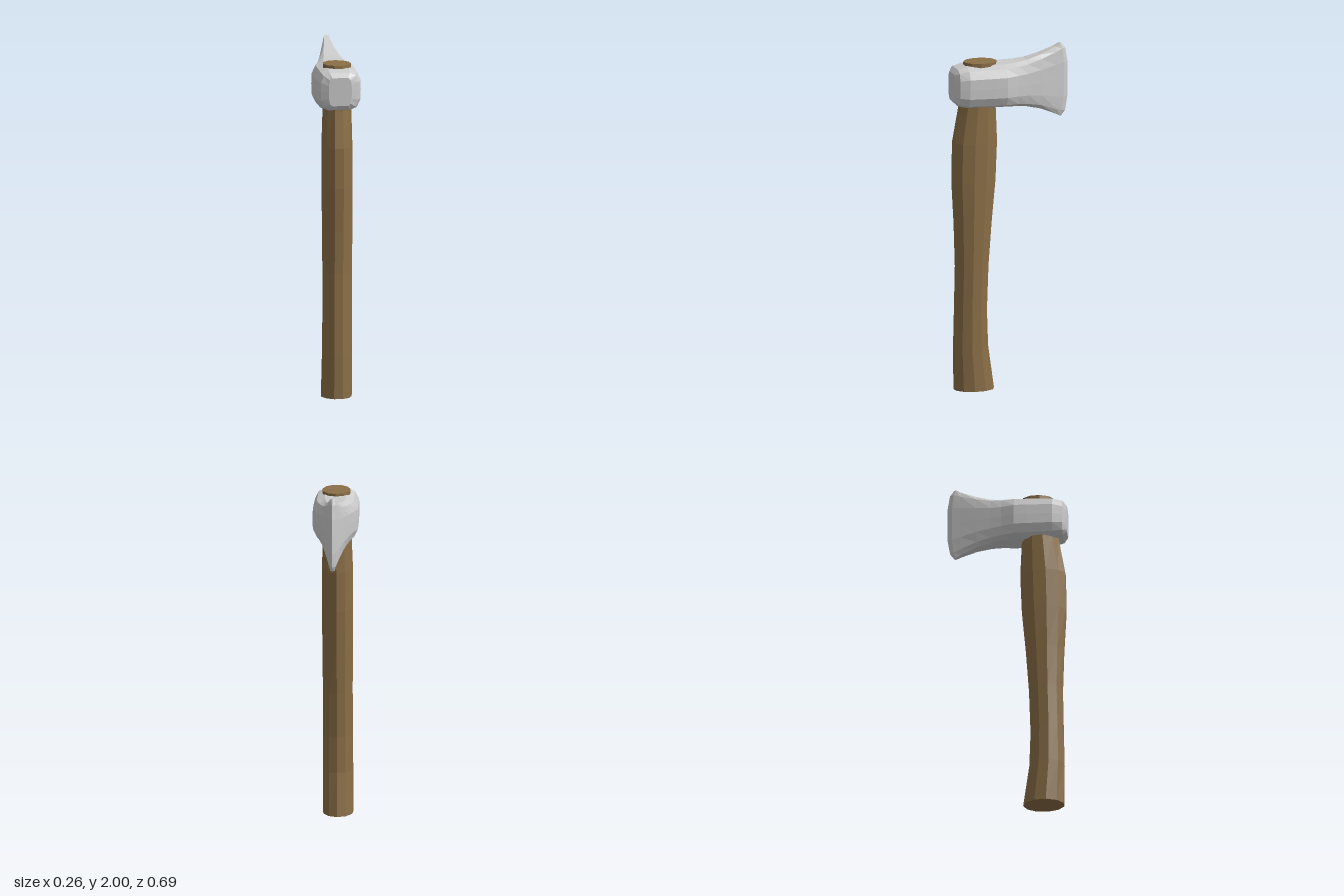
import * as THREE from 'three';

// Skin a list of rings (counter-clockwise seen from the far end); caps are optional.
function loft(rings, capStart, capEnd) {
  const pos = [];
  const tri = (...pts) => pts.forEach((p) => pos.push(p.x, p.y, p.z));
  const n = rings[0].length;
  for (let i = 0; i < rings.length - 1; i++) {
    for (let j = 0; j < n; j++) {
      const k = (j + 1) % n;
      const a = rings[i][j], b = rings[i][k], c = rings[i + 1][k], d = rings[i + 1][j];
      tri(a, b, c);
      tri(a, c, d);
    }
  }
  const cap = (ring, flip) => {
    const centre = new THREE.Vector3();
    ring.forEach((p) => centre.addScaledVector(p, 1 / n));
    for (let j = 0; j < n; j++) {
      const k = (j + 1) % n;
      if (flip) tri(centre, ring[k], ring[j]);
      else tri(centre, ring[j], ring[k]);
    }
  };
  if (capStart) cap(rings[0], true);
  if (capEnd) cap(rings[rings.length - 1], false);
  const geo = new THREE.BufferGeometry();
  geo.setAttribute('position', new THREE.Float32BufferAttribute(pos, 3));
  geo.computeVertexNormals();
  return geo;
}

// Eleven-sided oval, one corner towards the blade
function handleRing([y, zMin, zMax, halfWidth, xMid]) {
  const ring = [];
  for (let j = 0; j < 11; j++) {
    const a = Math.PI / 2 + (j / 11) * Math.PI * 2;
    ring.push(new THREE.Vector3(
      xMid + Math.cos(a) * halfWidth,
      y,
      (zMin + zMax) / 2 - Math.sin(a) * (zMax - zMin) / 2
    ));
  }
  return ring;
}

// Rounded-square section: w = half width at the side, t = half width of the top flat
function headRing([z, w, t, yBot, yTop, bow]) {
  const s = t + 0.66 * (w - t);
  const quarter = [[w, 0], [w * 0.99, 0.47], [s, 0.85], [t, 1], [0, 1]];
  const upper = [...quarter, ...quarter.slice(0, 4).reverse().map(([x, v]) => [-x, v])];
  const lower = upper.slice(1, -1).reverse().map(([x, v]) => [x, -v]);
  const mid = (yTop + yBot) / 2, half = (yTop - yBot) / 2;
  return [...upper, ...lower].map(([x, v]) =>
    new THREE.Vector3(x, mid + v * half, z + bow * v ** 6));
}

export function createModel() {
  const model = new THREE.Group();
  model.name = 'axe';
  const wood = new THREE.MeshStandardMaterial({ color: 0x8b6f47, flatShading: true });
  const steel = new THREE.MeshStandardMaterial({ color: 0xcccccc, flatShading: true });

  // Curved handle: y, blade-side z, poll-side z, half width, x centre
  const handleSections = [
    [0.00, 0.09, 0.328, 0.089, -0.008],
    [0.25, 0.125, 0.33, 0.087, -0.007],
    [0.46, 0.132, 0.325, 0.086, -0.006],
    [0.72, 0.123, 0.32, 0.086, -0.005],
    [0.97, 0.105, 0.328, 0.088, -0.004],
    [1.22, 0.082, 0.342, 0.09, -0.004],
    [1.45, 0.073, 0.338, 0.089, -0.004],
    [1.66, 0.082, 0.3, 0.083, -0.002],
    [1.92, 0.078, 0.271, 0.081, 0]
  ];
  const handle = new THREE.Mesh(loft(handleSections.map(handleRing), true, true), wood);
  handle.name = 'handle';
  model.add(handle);

  // Head from cutting edge to poll: z, half width, top flat, bottom y, top y, edge bow
  const headSections = [
    [-0.343, 0, 0, 1.57, 2.0, 0.038],
    [-0.315, 0.022, 0.013, 1.572, 1.998, 0.02],
    [-0.27, 0.034, 0.018, 1.588, 1.98, 0.005],
    [-0.175, 0.061, 0.031, 1.626, 1.943, 0],
    [-0.09, 0.084, 0.042, 1.647, 1.918, 0],
    [-0.03, 0.102, 0.051, 1.654, 1.91, 0],
    [0.045, 0.13, 0.06, 1.657, 1.906, 0],
    [0.12, 0.13, 0.06, 1.658, 1.905, 0],
    [0.265, 0.127, 0.06, 1.662, 1.903, 0],
    [0.32, 0.109, 0.058, 1.675, 1.888, 0],
    [0.343, 0.066, 0.045, 1.7, 1.862, 0]
  ];
  const head = new THREE.Mesh(loft(headSections.map(headRing), false, true), steel);
  head.name = 'axeHead';
  model.add(head);

  return model;
}
